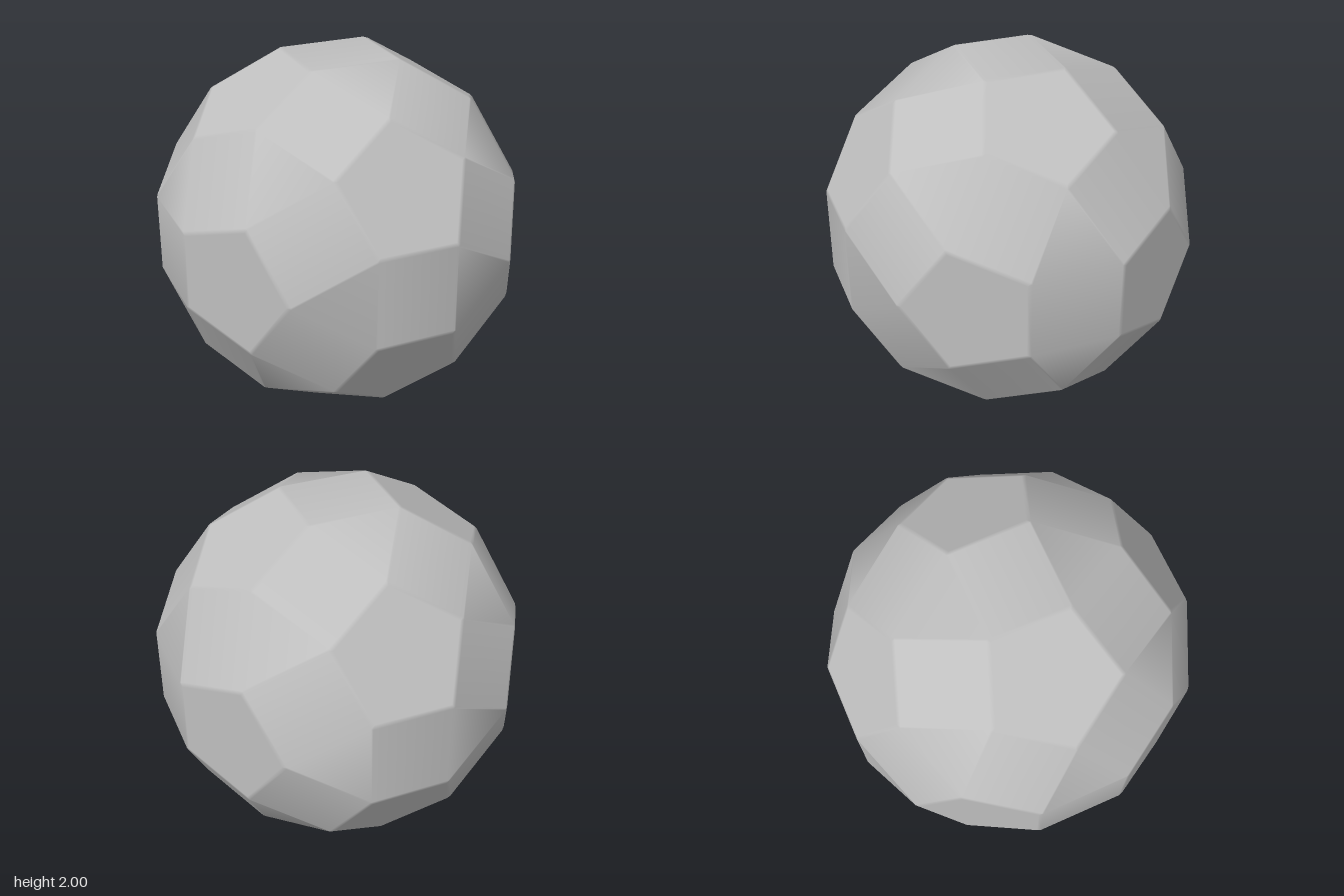
import * as THREE from 'three';
import { ConvexGeometry } from 'three/addons/geometries/ConvexGeometry.js';

const PHI = (1 + Math.sqrt(5)) / 2;
const HALF_GAP = 0.258;   // half the distance between neighbouring pentagons
const BEVEL = 0.013;      // width of the softened pentagon rims

// The twelve pentagon directions: cyclic shifts of (0, ±1, ±phi)
function pentagonNormals() {
  const list = [];
  for (const s of [-1, 1]) for (const t of [-PHI, PHI]) {
    list.push([0, s, t], [t, 0, s], [s, t, 0]);
  }
  return list.map((p) => new THREE.Vector3(...p).normalize());
}

// The sixty corners, each with its pentagon normal and in-plane direction
function solidCorners() {
  const normals = pentagonNormals();
  const dist = (HALF_GAP + PHI) / Math.hypot(1, PHI);
  const inradius = Math.hypot(dist * 1 / Math.hypot(1, PHI) - HALF_GAP, dist * PHI / Math.hypot(1, PHI) - 1);
  const radius = inradius / Math.cos(Math.PI / 5);
  const corners = [];
  for (const n of normals) for (const m of normals) {
    if (Math.abs(n.dot(m) - 1 / Math.sqrt(5)) > 0.01) continue;
    const out = m.clone().addScaledVector(n, -n.dot(m)).normalize().negate();
    corners.push({ n, out, p: n.clone().multiplyScalar(dist).addScaledVector(out, radius) });
  }
  return corners;
}

// Pentagons get a narrow bevelled rim; triangles and rectangles blend smoothly
function bevelledPoints() {
  const corners = solidCorners();
  const points = [];
  for (const c of corners) {
    points.push({ p: c.p.clone().addScaledVector(c.out, -BEVEL / Math.cos(Math.PI / 5)), n: c.n });
    const others = corners.filter((o) => o.n !== c.n && Math.abs(o.p.distanceTo(c.p) - 2 * HALF_GAP) < 0.01);
    const triangle = others.reduce((sum, o) => sum.add(o.n), c.n.clone()).normalize();
    for (const o of others) {
      const rectangle = c.n.clone().add(o.n).normalize();
      points.push({
        p: c.p.clone().lerp(o.p, BEVEL / (2 * HALF_GAP)),
        n: rectangle.multiplyScalar(2).add(triangle).normalize(),
      });
    }
  }
  return points;
}

export function createModel() {
  const group = new THREE.Group();
  group.name = 'facetedBall';
  const grey = new THREE.MeshStandardMaterial({ color: 0xbfbfbf });
  grey.name = 'grey';

  const points = bevelledPoints();
  const geometry = new ConvexGeometry(points.map((q) => q.p));

  // Give every hull corner its smooth normal
  const pos = geometry.attributes.position;
  const v = new THREE.Vector3();
  for (let i = 0; i < pos.count; i++) {
    v.fromBufferAttribute(pos, i);
    const { n } = points.find((q) => q.p.distanceToSquared(v) < 1e-8);
    geometry.attributes.normal.setXYZ(i, n.x, n.y, n.z);
  }

  const ball = new THREE.Mesh(geometry, grey);
  ball.name = 'facetedShell';
  ball.position.y = 1;
  group.add(ball);
  return group;
}
